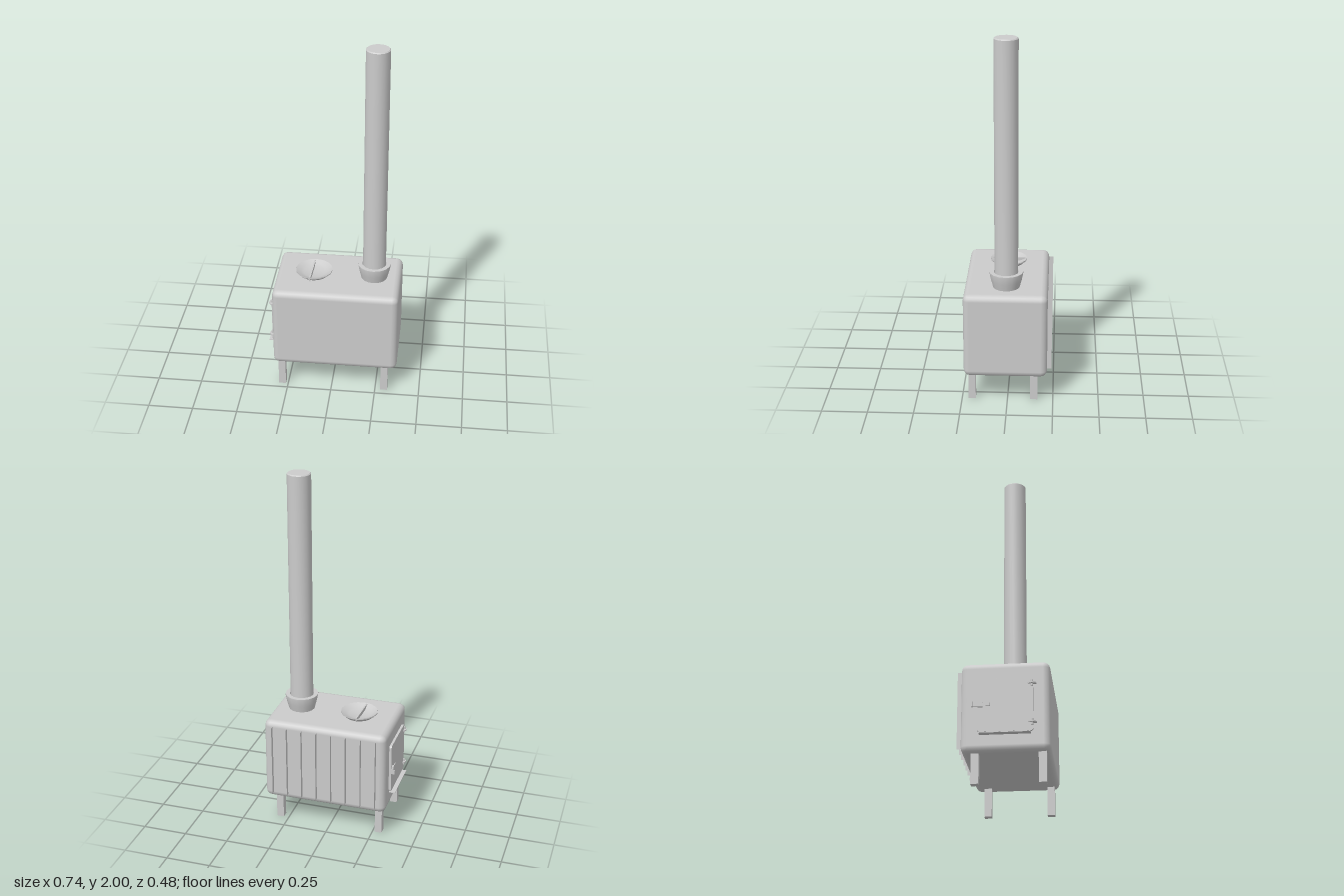
import * as THREE from 'three';
import { RoundedBoxGeometry } from 'three/addons/geometries/RoundedBoxGeometry.js';
import { toCreasedNormals } from 'three/addons/utils/BufferGeometryUtils.js';

export function createModel() {
  const stove = new THREE.Group();
  stove.name = 'stove';
  const grey = new THREE.MeshStandardMaterial({ color: 0xcccccc });
  const thin = new THREE.MeshStandardMaterial({ color: 0xcccccc, side: THREE.DoubleSide });

  function add(name, geometry, x, y, z, material = grey, parent = stove) {
    const mesh = new THREE.Mesh(geometry, material);
    mesh.name = name;
    mesh.position.set(x, y, z);
    parent.add(mesh);
    return mesh;
  }
  // box given by its minimum and maximum corners
  function block(name, a, b, parent) {
    const size = a.map((v, i) => b[i] - v);
    const mid = a.map((v, i) => (v + b[i]) / 2);
    return add(name, new THREE.BoxGeometry(...size), ...mid, grey, parent);
  }
  // turned part from [radius, height] pairs
  function turned(points, sides) {
    const profile = points.map(([r, y]) => new THREE.Vector2(r, y));
    return toCreasedNormals(new THREE.LatheGeometry(profile, sides), 0.6);
  }

  // Firebox with softened edges
  add('firebox', new RoundedBoxGeometry(0.7, 0.48, 0.455, 2, 0.035), 0.02, 0.395, 0.011);

  // Square legs
  for (const x of [-0.283, 0.3]) {
    for (const z of [-0.145, 0.195]) block('leg', [x - 0.02, 0, z - 0.02], [x + 0.02, 0.17, z + 0.02]);
  }

  // Chimney pipe with bevelled rim, and its flared collar
  add('chimneyPipe', turned([[0.064, 0.6], [0.064, 1.995], [0.059, 2], [0, 2]], 20), 0.22, 0, 0.01);
  add('chimneyCollar', turned([[0.07, 0.62], [0.077, 0.65], [0.084, 0.675], [0.092, 0.715],
    [0.092, 0.722], [0.068, 0.722], [0.062, 0.7]], 16), 0.22, 0, 0.01);

  // Dished cooking lid with a bar across
  const lid = new THREE.Group();
  lid.name = 'cookingLid';
  lid.position.set(-0.118, 0, 0.01);
  stove.add(lid);
  add('lidDish', turned([[0.075, 0.625], [0.085, 0.64], [0.103, 0.655], [0.103, 0.661],
    [0.078, 0.648], [0.06, 0.641], [0, 0.638]], 16), 0, 0, 0, grey, lid);
  const bar = block('lidBar', [-0.015, 0.636, -0.094], [-0.007, 0.66, 0.094], lid);
  bar.rotation.y = -0.04;

  // Thin cooling fins down the back
  const fin = new THREE.PlaneGeometry(0.04, 0.415).rotateY(Math.PI / 2);
  for (let i = 0; i < 8; i++) add('coolingFin', fin, -0.278 + i * 0.085, 0.3975, -0.22, thin);

  // Door on the short side: rounded panel, hinges, latch and ash ledge
  const door = new THREE.Group();
  door.name = 'door';
  stove.add(door);
  const [z0, z1, y0, y1, r] = [-0.13, 0.153, 0.255, 0.54, 0.015];
  const outline = new THREE.Shape();
  outline.absarc(z1 - r, y1 - r, r, 0, Math.PI / 2);
  outline.absarc(z0 + r, y1 - r, r, Math.PI / 2, Math.PI);
  outline.absarc(z0 + r, y0 + r, r, Math.PI, Math.PI * 1.5);
  outline.absarc(z1 - r, y0 + r, r, Math.PI * 1.5, Math.PI * 2);
  const panel = new THREE.ExtrudeGeometry(outline, { depth: 0.018, bevelEnabled: false, curveSegments: 3 });
  add('doorPanel', panel.rotateY(-Math.PI / 2), -0.325, 0, 0, grey, door);
  for (const y of [0.3, 0.508]) {
    add('hingeDisc', new THREE.CylinderGeometry(0.023, 0.023, 0.006, 12), -0.335, y, 0.147, grey, door);
    add('hingePin', new THREE.CylinderGeometry(0.006, 0.006, 0.035, 8), -0.344, y, 0.147, grey, door);
  }
  block('latchBase', [-0.354, 0.385, -0.127], [-0.34, 0.412, -0.103], door);
  block('latchArm', [-0.351, 0.39, -0.155], [-0.347, 0.407, -0.065], door);
  block('latchGrip', [-0.37, 0.385, -0.156], [-0.347, 0.412, -0.152], door);
  block('ashLedge', [-0.364, 0.243, -0.12], [-0.325, 0.247, 0.14], door);

  return stove;
}
